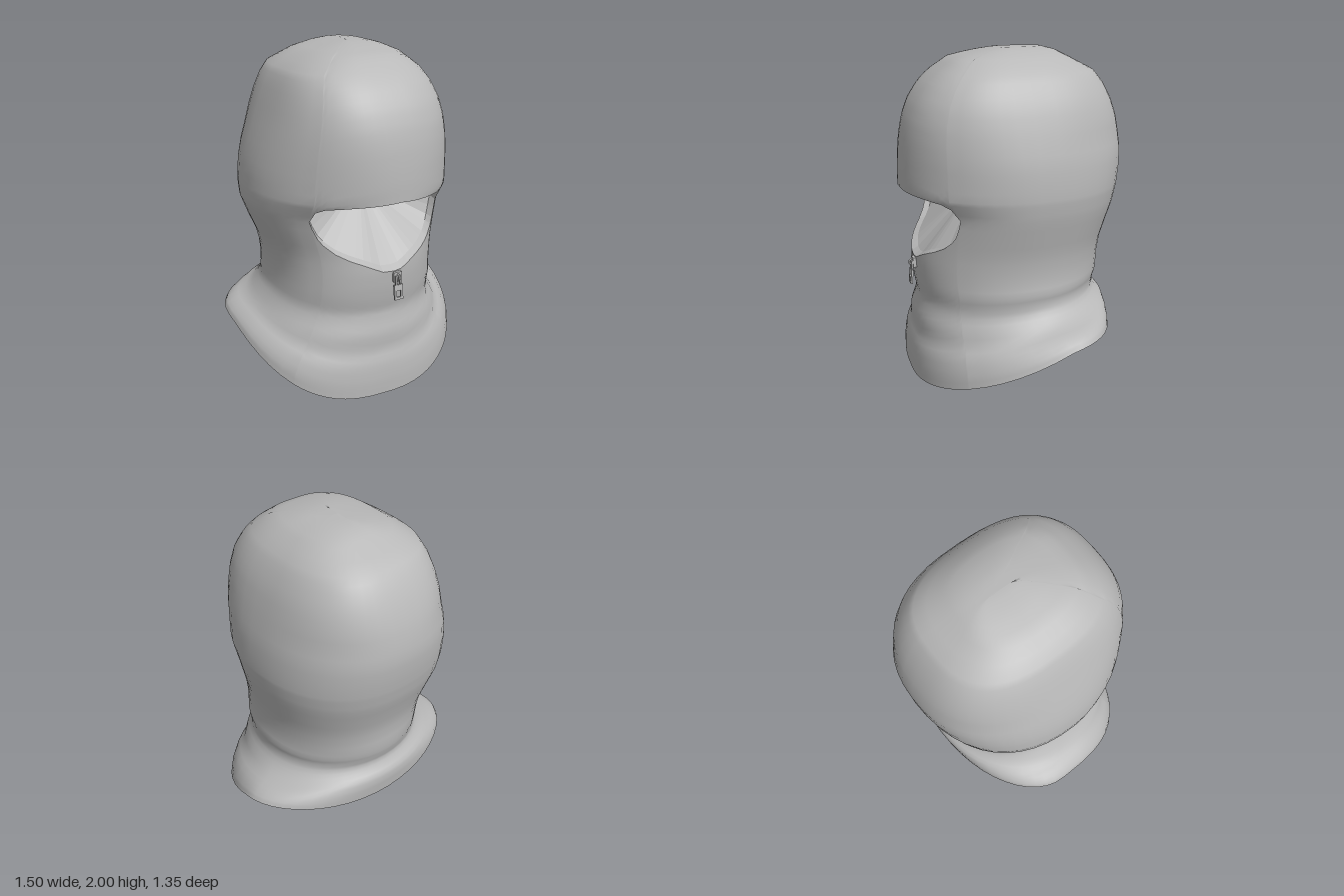
import * as THREE from 'three';
import { mergeVertices } from 'three/addons/utils/BufferGeometryUtils.js';

const { lerp, smoothstep } = THREE.MathUtils;

// Cross-sections from hem to crown:
// [y front, y side, y back, half width right, half width left, z of widest point, z front, z back]
const RINGS = [
  [0.005, 0.35, 0.32, 0.75, 0.75, -0.13, 0.64, -0.58],
  [0.10, 0.38, 0.37, 0.735, 0.73, -0.12, 0.64, -0.585],
  [0.20, 0.41, 0.42, 0.69, 0.68, -0.10, 0.63, -0.59],
  [0.28, 0.43, 0.47, 0.64, 0.61, -0.08, 0.605, -0.585],
  [0.38, 0.46, 0.51, 0.60, 0.56, -0.05, 0.605, -0.55],
  [0.46, 0.51, 0.55, 0.56, 0.515, -0.03, 0.585, -0.53],
  [0.52, 0.56, 0.60, 0.53, 0.505, 0, 0.575, -0.545],
  [0.60, 0.62, 0.64, 0.52, 0.515, 0, 0.59, -0.555],
  [0.68, 0.69, 0.70, 0.515, 0.505, 0, 0.60, -0.56],
];
// Upright head sections: [y, half width right, half width left, z front, z back]
const HEAD = [
  [0.77, 0.52, 0.505, 0.605, -0.56], [0.86, 0.54, 0.515, 0.60, -0.57],
  [0.97, 0.585, 0.54, 0.59, -0.60], [1.08, 0.625, 0.565, 0.585, -0.635],
  [1.15, 0.63, 0.575, 0.635, -0.65], [1.20, 0.628, 0.58, 0.675, -0.66],
  [1.30, 0.615, 0.575, 0.673, -0.673], [1.40, 0.59, 0.563, 0.665, -0.678],
  [1.50, 0.558, 0.54, 0.652, -0.665], [1.60, 0.522, 0.512, 0.63, -0.64],
  [1.70, 0.485, 0.477, 0.59, -0.60], [1.79, 0.447, 0.43, 0.53, -0.55],
  [1.86, 0.405, 0.38, 0.46, -0.495], [1.94, 0.28, 0.28, 0.35, -0.34],
  [1.975, 0.15, 0.20, 0.21, -0.27], [1.995, 0.04, 0.12, 0.09, -0.19],
];
for (const [y, r, l, f, b] of HEAD) RINGS.push([y, y, y, r, l, 0, f, b]);
RINGS.push([2, 2, 2, -0.04, 0.04, -0.06, -0.06, -0.06]);
const LAST = RINGS.length - 1;
const EYE = 12;          // ring at the corners of the eye opening
const CORNER = 0.77;     // angle of those corners from the front

// Squareness of a cross-section: boxier at the crown, the nape and the right front of the collar
function squareness(s, c, k) {
  const crown = 0.7 * smoothstep(k, EYE + 2, LAST - 4);
  if (c < 0) return Math.max(2 + 0.27 * smoothstep(k, 5, EYE), 2 + crown);
  const collar = 0.45 * (1 - smoothstep(k, 1, 6)) + 0.35 * (1 - smoothstep(k, 7, 11));
  return 2 + crown + (s < 0 ? collar : 0);
}

// Point on the hood at angle a (0 = front, positive = left) and fractional ring k
function hoodPoint(a, k) {
  const i = Math.min(Math.floor(k), LAST - 1);
  const [yF, yS, yB, r, l, zc, zF, zB] = RINGS[i].map((v, n) => lerp(v, RINGS[i + 1][n], k - i));
  const s = Math.sin(a), c = Math.cos(a), e = 2 / squareness(s, c, k);
  const x = Math.abs(s) ** e, z = Math.abs(c) ** e;
  // The hem dips to the front and humps slightly behind the shoulders
  const y = c > 0
    ? lerp(yS, yF, c ** (s < 0 ? 1.35 : 1))
    : lerp(yS, yB, c * c) - 0.1 * c * (1 + c) * (1 - smoothstep(k, 0, 6));
  return new THREE.Vector3(s > 0 ? x * l : -x * r, y, zc + ((c > 0 ? zF : zB) - zc) * z);
}

// Piecewise-linear lookup through [x, y] pairs
function lookup(points, x) {
  for (let i = 1; i < points.length; i++) {
    const [x0, y0] = points[i - 1], [x1, y1] = points[i];
    if (x <= x1) return y0 + (y1 - y0) * (x - x0) / (x1 - x0);
  }
  return points[points.length - 1][1];
}
const ringOfHeight = RINGS.map((r, i) => [r[1], i]);
const upperLid = [[0, 1.205], [0.6, 1.19], [0.87, 1.175], [0.96, 1.15], [1, 1.08]];
const lowerLid = [[0, 0.77], [0.12, 0.77], [0.41, 0.82], [0.67, 0.86], [0.82, 0.895], [0.95, 0.955], [0.985, 1.02], [1, 1.08]];
function lidRing(a, lid) {
  if (Math.abs(a) >= CORNER - 1e-6) return EYE;
  return lookup(ringOfHeight, lookup(lid, Math.abs(Math.sin(a)) / Math.sin(CORNER)));
}

function bufferGeometry(points, index) {
  const g = new THREE.BufferGeometry();
  g.setAttribute('position', new THREE.Float32BufferAttribute(points.flatMap(p => p.toArray()), 3));
  g.setIndex(index);
  return g;
}

// Faceted surface: bands between successive closed loops, then a fan to the apex
function facetedCap(loops, apex) {
  const n = loops[0].length, index = [];
  const points = [...loops.flat(), apex];
  loops.forEach((loop, j) => {
    for (let i = 0; i < n; i++) {
      const a = j * n + i, b = j * n + (i + 1) % n;
      if (j < loops.length - 1) index.push(a, b, b + n, a, b + n, a + n);
      else index.push(a, b, points.length - 1);
    }
  });
  const g = bufferGeometry(points, index).toNonIndexed();
  g.computeVertexNormals();
  return g;
}

export function createModel() {
  const model = new THREE.Group();
  model.name = 'balaclava';
  const fabric = new THREE.MeshStandardMaterial({ color: 0xb8b8b8 });
  fabric.name = 'grey fabric';
  const add = (parent, name, geometry, x = 0, y = 0, z = 0) => {
    const m = new THREE.Mesh(geometry, fabric);
    m.name = name;
    m.position.set(x, y, z);
    parent.add(m);
    return m;
  };

  // Columns: finer towards the corners of the eye opening
  const half = [];
  for (let i = 1; i <= 12; i++) half.push(CORNER * (1 - (1 - i / 12) ** 1.7));
  for (let i = 1; i <= 18; i++) half.push(CORNER + (Math.PI - CORNER) * i / 18);
  const angles = [...half.map(a => -a).reverse(), 0, ...half];

  // Hood shell: the rows part in front to leave the eye opening
  const points = [], index = [];
  const addRows = (from, to, edge) => {
    const rows = (to - from) * 2, base = points.length, n = angles.length;
    for (let j = 0; j <= rows; j++) {
      for (const a of angles) points.push(hoodPoint(a, edge(a, j / rows)));
    }
    for (let j = 0; j < rows; j++) {
      for (let i = 0; i < n - 1; i++) {
        const p = base + j * n + i, q = p + n;
        index.push(p, p + 1, q + 1, p, q + 1, q);
      }
    }
  };
  addRows(0, EYE, (a, t) => t * lidRing(a, lowerLid));
  addRows(EYE, LAST, (a, t) => lerp(lidRing(a, upperLid), LAST, t));
  const shell = mergeVertices(bufferGeometry(points, index), 1e-4);
  shell.computeVertexNormals();
  add(model, 'hood', shell);

  // Lining behind the eye opening: a thin lip below, a deeper one under the brow
  const eyeAngles = angles.filter(a => Math.abs(a) <= CORNER + 1e-6);
  const lower = eyeAngles.map(a => hoodPoint(a, lidRing(a, lowerLid)));
  const upper = eyeAngles.slice(1, -1).reverse().map(a => hoodPoint(a, lidRing(a, upperLid)));
  const eyeInner = [
    ...lower.map(p => new THREE.Vector3(p.x * 0.96, lerp(p.y, 1.1, 0.08), p.z - 0.04)),
    ...upper.map(p => new THREE.Vector3(p.x * 0.96, p.y, 0.36)),
  ];
  add(model, 'eyeOpeningLining', facetedCap([[...lower, ...upper], eyeInner], new THREE.Vector3(0, 1.19, 0.2)));

  // Hem lip and lining inside the neck
  const hemLoop = angles.slice(1).reverse().map(a => hoodPoint(a, 0));
  const inset = (amount, rise) => hemLoop.map(p =>
    new THREE.Vector3(p.x * (1 - amount), p.y + rise, p.z * (1 - amount)));
  add(model, 'neckLining', facetedCap(
    [hemLoop, inset(0.03, 0.005), inset(0.4, 0.11)], new THREE.Vector3(0, 0.4, 0)));

  // Zip slider and pull tab under the eye opening
  const zip = new THREE.Group();
  zip.name = 'zipper';
  zip.position.x = 0.02;
  model.add(zip);
  add(zip, 'zipSlider', new THREE.BoxGeometry(0.05, 0.06, 0.03), 0, 0.735, 0.605);
  add(zip, 'zipBridge', new THREE.TorusGeometry(0.018, 0.006, 6, 12), 0, 0.735, 0.621).rotation.y = Math.PI / 2;
  const rect = (Kind, w, y0, y1) => new Kind([[-w, y0], [w, y0], [w, y1], [-w, y1]].map(p => new THREE.Vector2(...p)));
  const tab = rect(THREE.Shape, 0.028, -0.12, -0.03);
  tab.holes.push(rect(THREE.Path, 0.014, -0.105, -0.065));
  const pull = new THREE.Group();
  pull.name = 'zipPull';
  pull.position.set(0, 0.72, 0.618);
  pull.rotation.x = -0.08;
  zip.add(pull);
  add(pull, 'pullTab', new THREE.ExtrudeGeometry(tab, { depth: 0.012, bevelEnabled: false }));
  for (const s of [-1, 1]) add(pull, 'pullArm', new THREE.BoxGeometry(0.009, 0.055, 0.012), s * 0.014, -0.008, 0.006);
  add(pull, 'pullPin', new THREE.BoxGeometry(0.037, 0.009, 0.012), 0, 0.02, 0.006);

  return model;
}
